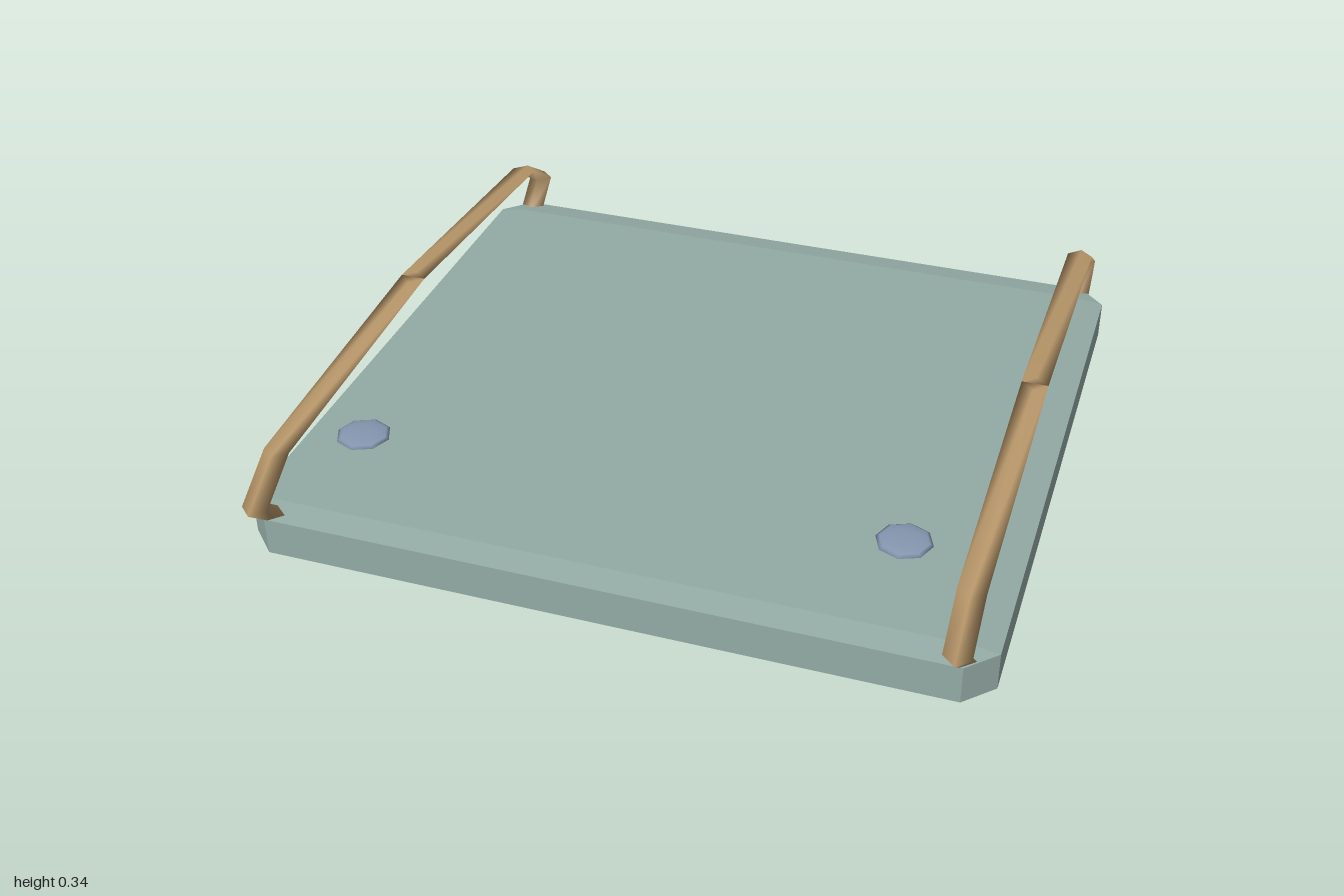
import * as THREE from 'three';
import { ConvexGeometry } from 'three/addons/geometries/ConvexGeometry.js';

const slabMaterial = new THREE.MeshStandardMaterial({ color: 0x93aaa5 });
const railMaterial = new THREE.MeshStandardMaterial({ color: 0xb8976a });
const studMaterial = new THREE.MeshStandardMaterial({ color: 0x8497b0 });

function part(name, geometry, material) {
  const mesh = new THREE.Mesh(geometry, material);
  mesh.name = name;
  return mesh;
}

// Box with every edge chamfered: wide across the plan, shallow in height
function chamferedSlab(hx, y0, y1, zBack, zFront, inset, rise) {
  const points = [];
  for (const sx of [-1, 1]) {
    for (const [zEdge, sz] of [[zBack, -1], [zFront, 1]]) {
      const xIn = sx * (hx - inset), zIn = zEdge - sz * inset;
      for (const y of [y0, y1]) points.push(new THREE.Vector3(xIn, y, zIn));
      for (const y of [y0 + rise, y1 - rise]) {
        points.push(new THREE.Vector3(sx * hx, y, zIn));
        points.push(new THREE.Vector3(xIn, y, zEdge));
      }
    }
  }
  return new ConvexGeometry(points);
}

// Half a rail: level diamond sections stacked along a rising path
function halfRail(s) {
  const path = [[0.868, 0.105], [0.964, 0.19], [0.826, 0.28], [0, 0.337]];
  const rx = 0.036, rz = 0.033;
  const positions = [], index = [];
  for (const [z, y] of path) {
    for (let i = 0; i < 4; i++) {
      const a = i * Math.PI / 2;
      positions.push(rx * Math.cos(a), y, s * z + rz * Math.sin(a));
    }
  }
  for (let j = 0; j < path.length - 1; j++) {
    for (let i = 0; i < 4; i++) {
      const a = j * 4 + i, b = j * 4 + (i + 1) % 4;
      index.push(a, a + 4, b, b, a + 4, b + 4);
    }
  }
  // end caps
  const t = (path.length - 1) * 4;
  index.push(0, 1, 2, 0, 2, 3, t, t + 2, t + 1, t, t + 3, t + 2);
  const geometry = new THREE.BufferGeometry();
  geometry.setAttribute('position', new THREE.Float32BufferAttribute(positions, 3));
  geometry.setIndex(index);
  geometry.computeVertexNormals();
  return geometry;
}

export function createModel() {
  const model = new THREE.Group();
  model.name = 'tray';
  model.add(part('slab', chamferedSlab(0.995, 0, 0.13, -0.902, 0.916, 0.075, 0.011), slabMaterial));

  for (const [side, sx] of [['left', 1], ['right', -1]]) {
    // Arched rail along each side
    const rail = new THREE.Group();
    rail.name = side + 'Rail';
    rail.add(part('frontHalf', halfRail(1), railMaterial));
    rail.add(part('backHalf', halfRail(-1), railMaterial));
    rail.position.x = sx * 0.91;
    model.add(rail);

    // Flat lens-shaped stud hovering near each front corner
    const stud = part(side + 'Stud', new THREE.SphereGeometry(0.072, 8, 6), studMaterial);
    stud.scale.y = 0.16;
    stud.position.set(sx * 0.72, 0.291, 0.706);
    model.add(stud);
  }
  return model;
}
